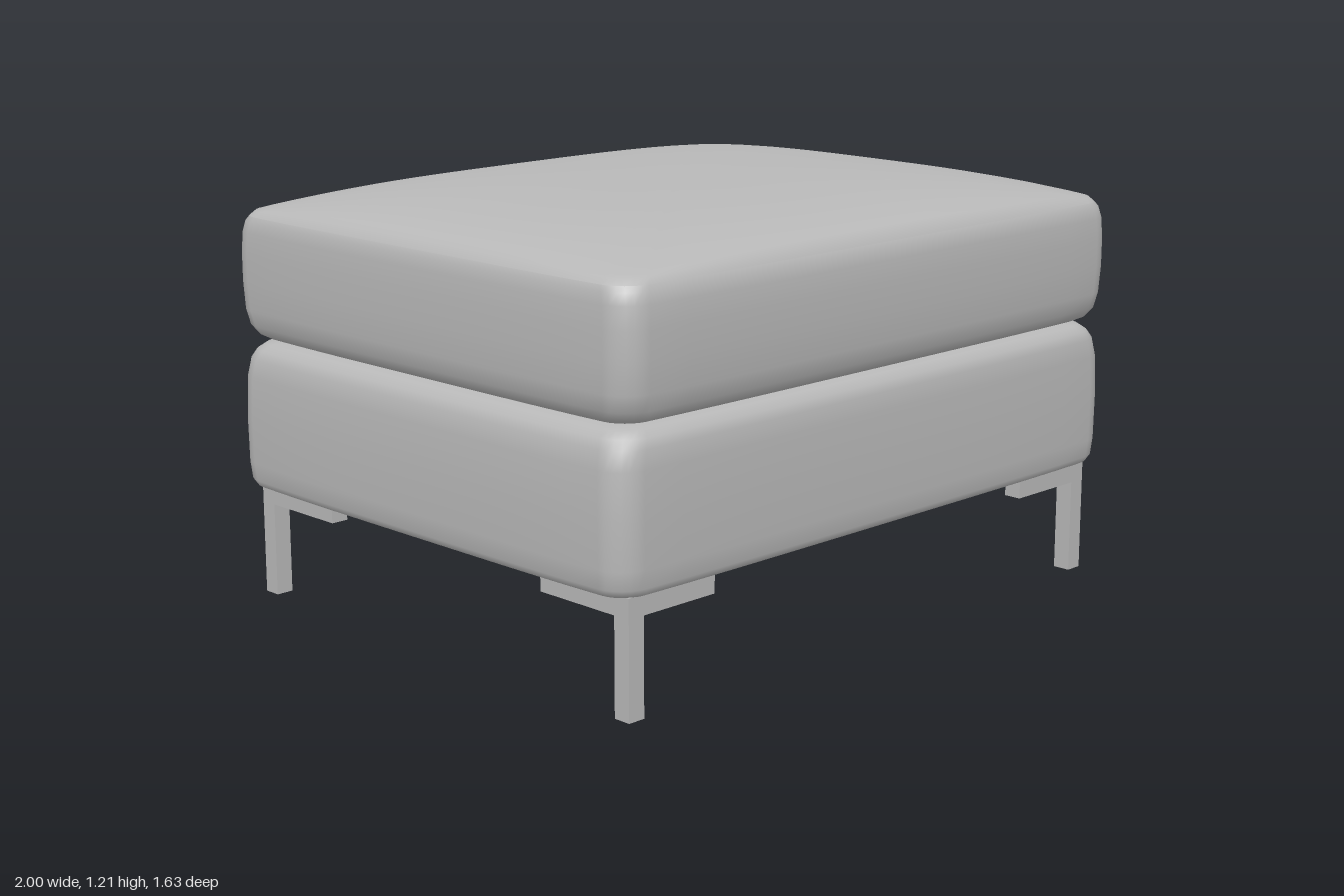
import * as THREE from 'three';

const grey = new THREE.MeshStandardMaterial({ color: 0xb8b8b8 });
grey.name = 'greyUpholstery';

// Rounded rectangle outline with subdivided, slightly bowed sides
function outline(hx, hz, r) {
  const pts = [], arc = 6, side = 14;
  const signs = [[1, 1], [-1, 1], [-1, -1], [1, -1]];
  signs.forEach(([sx, sz], k) => {
    for (let i = 0; i <= arc; i++) {
      const a = (k + i / arc) * Math.PI / 2;
      pts.push([sx * (hx - r) + r * Math.cos(a), sz * (hz - r) + r * Math.sin(a)]);
    }
    const [nx, nz] = signs[(k + 1) % 4];
    const [x0, z0] = pts[pts.length - 1];
    const x1 = nx === sx ? x0 : nx * (hx - r), z1 = nz === sz ? z0 : nz * (hz - r);
    for (let i = 1; i < side; i++) {
      const t = i / side;
      pts.push([x0 + (x1 - x0) * t, z0 + (z1 - z0) * t]);
    }
  });
  return pts.map(([x, z]) => [
    x * (1 - 0.012 * Math.pow(z / hz, 4)),
    z * (1 - 0.012 * Math.pow(x / hx, 4)),
  ]);
}

// Skin joining equal-length rings listed from bottom to top
function loft(rings) {
  const n = rings[0].length, index = [];
  for (let j = 0; j < rings.length - 1; j++) {
    for (let i = 0; i < n; i++) {
      const a = j * n + i, b = j * n + (i + 1) % n;
      index.push(a, a + n, b, b, a + n, b + n);
    }
  }
  const geo = new THREE.BufferGeometry();
  geo.setAttribute('position', new THREE.Float32BufferAttribute(rings.flat(2), 3));
  geo.setIndex(index);
  geo.computeVertexNormals();
  return geo;
}

// Side rings from [y, halfWidth, halfDepth, cornerRadius]
const ringAt = ([y, hx, hz, r]) => outline(hx, hz, r).map(([x, z]) => [x, y, z]);

// Padded face: rings shrinking to the middle, swelling by amp
const steps = [1, 0.985, 0.96, 0.92, 0.86, 0.77, 0.65, 0.5, 0.3, 0.12, 0.001];
function paddedRings([y, hx, hz, r], amp) {
  const f = (u) => Math.sqrt(Math.max(0, 1 - Math.pow(Math.abs(u), 3)));
  return steps.map((t) => outline(hx, hz, r).map(([x, z]) => [
    x * t,
    y + (t === 1 ? 0 : amp * f(x * t / hx) * f(z * t / hz)),
    z * t,
  ]));
}

// Block with padded top and bottom around a side profile
function paddedBlock(name, profile, topAmp, bottomAmp) {
  const group = new THREE.Group();
  group.name = name;
  const parts = {
    Side: profile.map(ringAt),
    Top: paddedRings(profile[profile.length - 1], topAmp),
    Underside: paddedRings(profile[0], bottomAmp).reverse(),
  };
  for (const key in parts) {
    const mesh = new THREE.Mesh(loft(parts[key]), grey);
    mesh.name = name + key;
    group.add(mesh);
  }
  return group;
}

// Corner leg: square post with two mounting bars
function leg(sx, sz) {
  const group = new THREE.Group();
  group.name = 'leg';
  const box = (name, x0, x1, y0, y1, z0, z1) => {
    const mesh = new THREE.Mesh(new THREE.BoxGeometry(x1 - x0, y1 - y0, z1 - z0), grey);
    mesh.position.set(sx * (x0 + x1) / 2, (y0 + y1) / 2, sz * (z0 + z1) / 2);
    mesh.name = name;
    group.add(mesh);
  };
  box('legPost', 0.88, 0.932, 0, 0.325, 0.708, 0.76);
  box('legBarAcross', 0.63, 0.88, 0.27, 0.325, 0.708, 0.76);
  box('legBarDeep', 0.88, 0.932, 0.27, 0.325, 0.435, 0.708);
  return group;
}

export function createModel() {
  const model = new THREE.Group();
  model.name = 'ottoman';

  // Upholstered base
  model.add(paddedBlock('base', [
    [0.32, 0.945, 0.75, 0.06], [0.323, 0.965, 0.77, 0.07], [0.332, 0.983, 0.788, 0.08],
    [0.35, 0.993, 0.797, 0.08], [0.4, 0.998, 0.801, 0.08], [0.53, 1.0, 0.802, 0.08],
    [0.65, 0.996, 0.799, 0.08], [0.7, 0.986, 0.793, 0.08], [0.725, 0.972, 0.782, 0.08],
    [0.742, 0.95, 0.76, 0.07], [0.748, 0.92, 0.73, 0.06],
  ], 0.006, -0.025));

  // Seat cushion with crowned top
  model.add(paddedBlock('cushion', [
    [0.752, 0.91, 0.72, 0.06], [0.757, 0.94, 0.755, 0.07], [0.77, 0.962, 0.782, 0.08],
    [0.795, 0.978, 0.799, 0.08], [0.84, 0.987, 0.808, 0.08], [0.92, 0.99, 0.813, 0.08],
    [1.0, 0.99, 0.813, 0.08], [1.06, 0.987, 0.81, 0.08], [1.09, 0.982, 0.802, 0.08],
    [1.105, 0.974, 0.792, 0.08],
  ], 0.1, -0.004));

  // Four legs
  for (const sx of [-1, 1]) for (const sz of [-1, 1]) model.add(leg(sx, sz));
  return model;
}
